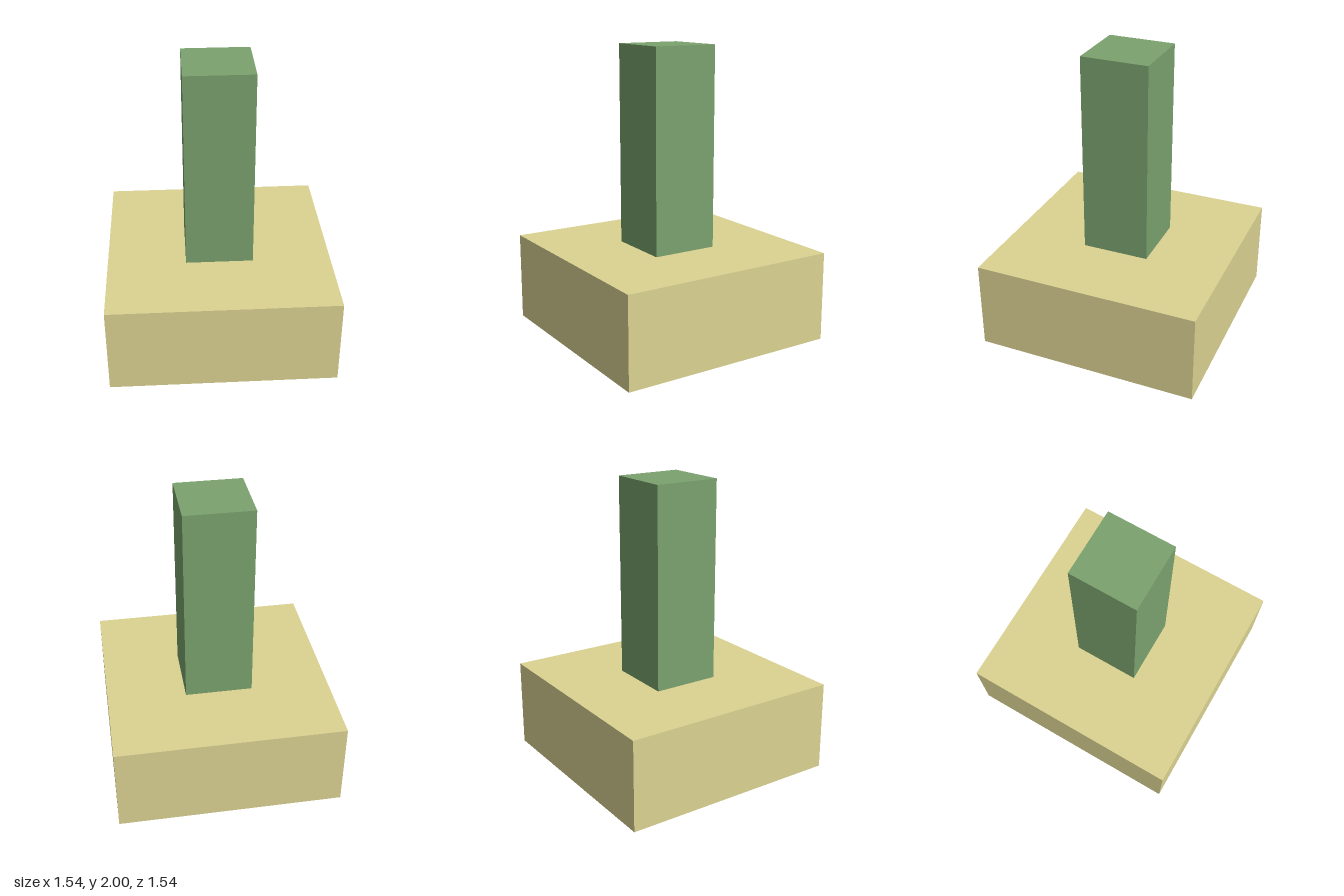
import * as THREE from 'three';

// Box of square plan, standing on height y
function block(name, width, height, y, color) {
  const mesh = new THREE.Mesh(
    new THREE.BoxGeometry(width, height, width),
    new THREE.MeshStandardMaterial({ color })
  );
  mesh.name = name;
  mesh.position.y = y + height / 2;
  return mesh;
}

export function createModel() {
  const model = new THREE.Group();
  model.name = 'columnOnFooting';
  const baseHeight = 0.615;

  // Wide square footing
  model.add(block('footing', 1.538, baseHeight, 0, 0xdcd392));
  // Square column standing at its centre
  model.add(block('column', 0.462, 2 - baseHeight, baseHeight, 0x7ba26e));

  return model;
}
